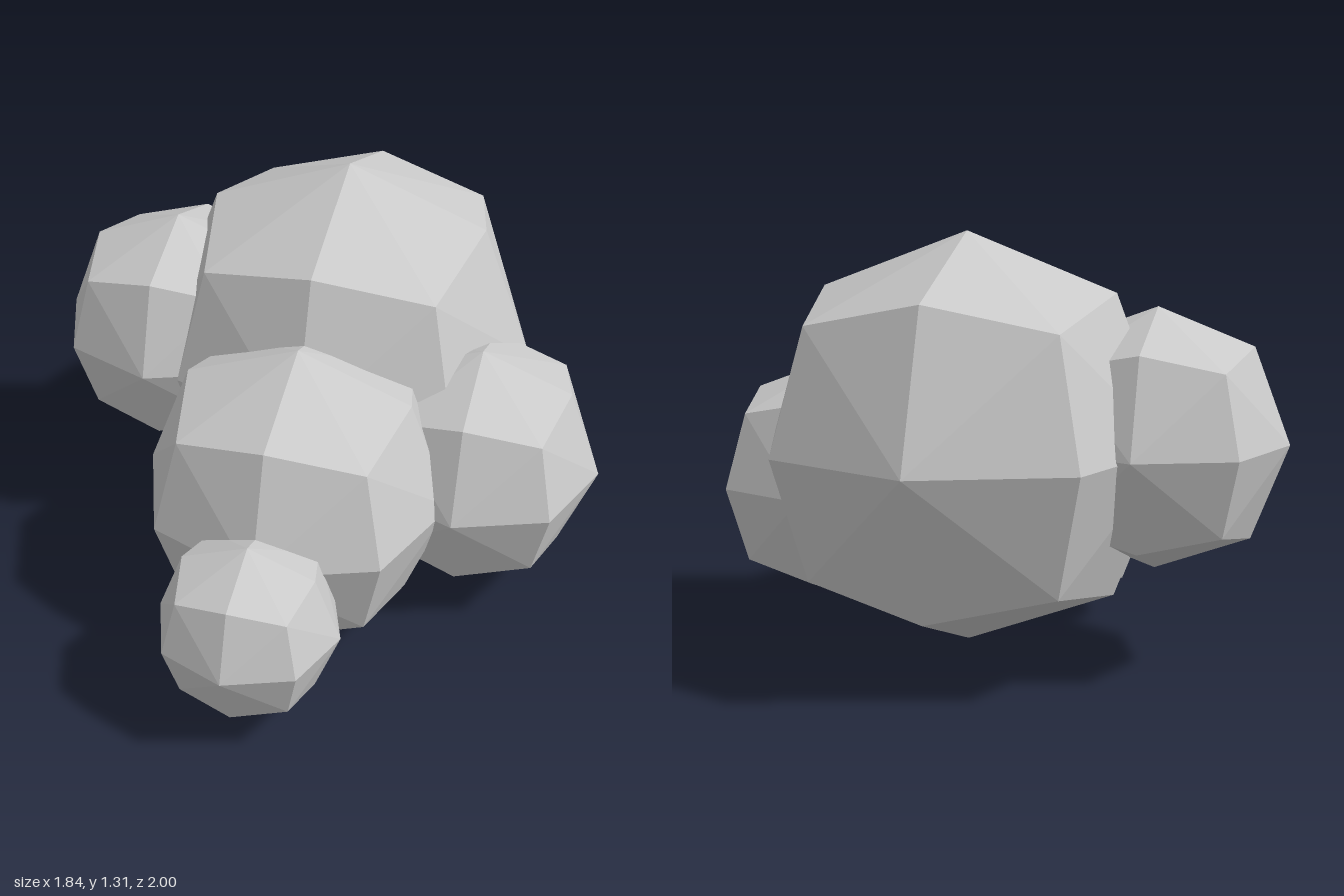
import * as THREE from 'three';
import { ConvexGeometry } from 'three/addons/geometries/ConvexGeometry.js';

// Unit ball with 24 faces: a cube with each side split 2 x 2 and rounded out.
function puffGeometry() {
  const reach = [0, 1, 0.724, 0.597]; // face centre, edge middle, corner
  const points = [];
  for (const x of [-1, 0, 1]) {
    for (const y of [-1, 0, 1]) {
      for (const z of [-1, 0, 1]) {
        const n = Math.abs(x) + Math.abs(y) + Math.abs(z);
        if (n > 0) points.push(new THREE.Vector3(x, y, z).multiplyScalar(reach[n]));
      }
    }
  }
  return new ConvexGeometry(points);
}

export function createModel() {
  const group = new THREE.Group();
  group.name = 'cloud';
  const material = new THREE.MeshStandardMaterial({ color: 0xcccccc, flatShading: true });
  const geometry = puffGeometry();

  // Overlapping puffs: name, centre, radius
  const puffs = [
    ['mainPuff', [0.017, 0.693, -0.384], 0.616],
    ['frontPuff', [0.017, 0.488, 0.202], 0.488],
    ['smallFrontPuff', [0.017, 0.35, 0.721], 0.279],
    ['rightPuff', [-0.532, 0.704, -0.29], 0.39],
    ['leftPuff', [0.527, 0.489, -0.089], 0.393],
  ];
  for (const [name, centre, radius] of puffs) {
    const puff = new THREE.Mesh(geometry, material);
    puff.name = name;
    puff.position.set(...centre);
    puff.scale.setScalar(radius);
    group.add(puff);
  }
  return group;
}
